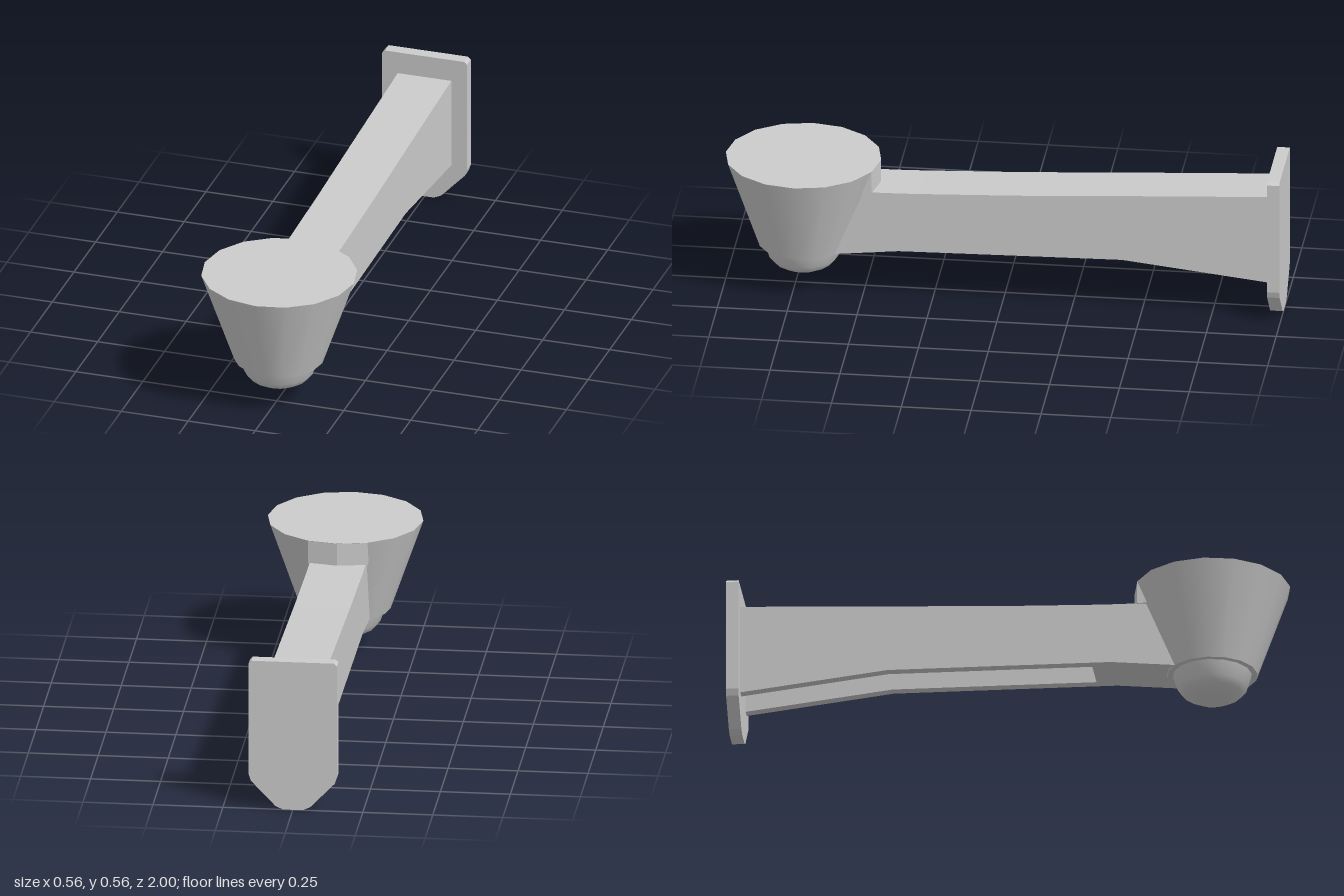
import * as THREE from 'three';

const HEAD_Z = 0.722, HEAD_R = 0.278, SIDES = 16;

// Prism from a list of [x, y] corners, extruded along +z
function prism(points, depth) {
  const shape = new THREE.Shape(points.map(([x, y]) => new THREE.Vector2(x, y)));
  return new THREE.ExtrudeGeometry(shape, { depth, bevelEnabled: false });
}

// Sweep of a U-shaped section: each station is [z, top, bottom, channelCeiling]
function channelBeam(stations, half, inner) {
  const pos = [];
  const rings = stations.map(([z, t, b, c]) => [
    [-half, b, z], [-half, t, z], [half, t, z], [half, b, z],
    [inner, b, z], [inner, c, z], [-inner, c, z], [-inner, b, z],
  ]);
  for (let i = 0; i < rings.length - 1; i++) {
    const p = rings[i], q = rings[i + 1];
    for (let j = 0; j < 8; j++) {
      const k = (j + 1) % 8;
      pos.push(...p[j], ...q[j], ...q[k], ...p[j], ...q[k], ...p[k]);
    }
  }
  const g = new THREE.BufferGeometry();
  g.setAttribute('position', new THREE.Float32BufferAttribute(pos, 3));
  g.computeVertexNormals();
  return g;
}

export function createModel() {
  const model = new THREE.Group();
  const smooth = new THREE.MeshStandardMaterial({ color: 0xcccccc });
  const flat = new THREE.MeshStandardMaterial({ color: 0xcccccc, flatShading: true, side: THREE.DoubleSide });
  const add = (name, geometry, material) => {
    const mesh = new THREE.Mesh(geometry, material);
    mesh.name = name;
    model.add(mesh);
    return mesh;
  };

  // Wall plate: clipped top corners, tapered rounded foot
  const right = [[0.035, 0], [0.062, 0.012], [0.15, 0.104], [0.158, 0.128], [0.158, 0.546], [0.148, 0.556]];
  const left = right.map(([x, y]) => [-x, y]).reverse();
  add('wallPlate', prism([...right, ...left], 0.045), flat).position.z = -1;

  // Arm, hollowed underneath by a long channel
  add('arm', channelBeam([
    [0.6, 0.41, 0.163, 0.163],
    [0.37, 0.413, 0.187, 0.187],
    [0.3, 0.415, 0.188, 0.188],
    [0.3, 0.415, 0.188, 0.27],
    [-0.05, 0.428, 0.193, 0.28],
    [-0.43, 0.448, 0.198, 0.29],
    [-0.96, 0.474, 0.138, 0.23],
  ], 0.1, 0.065), flat);

  // Tapered head
  const head = add('head', new THREE.CylinderGeometry(HEAD_R, 0.161, 0.334, SIDES), smooth);
  head.position.set(0, 0.328, HEAD_Z);

  // Upright shoulder filling the gap between the rim and the arm
  const a = 2 * Math.PI / SIDES;
  const sx = HEAD_R * Math.sin(a), sz = HEAD_R * Math.cos(a);
  const shoulder = add('shoulder', prism([[-sx, sz], [-sx, 0.18], [sx, 0.18], [sx, sz], [0, HEAD_R]], 0.084), flat);
  shoulder.rotation.x = -Math.PI / 2;
  shoulder.position.set(0, 0.41, HEAD_Z);

  // Lens dome under the head
  const profile = [[0, 0.065], [0.062, 0.065], [0.105, 0.088], [0.125, 0.112], [0.141, 0.162]]
    .map(([r, y]) => new THREE.Vector2(r, y));
  add('dome', new THREE.LatheGeometry(profile, SIDES), smooth).position.z = HEAD_Z;

  return model;
}
